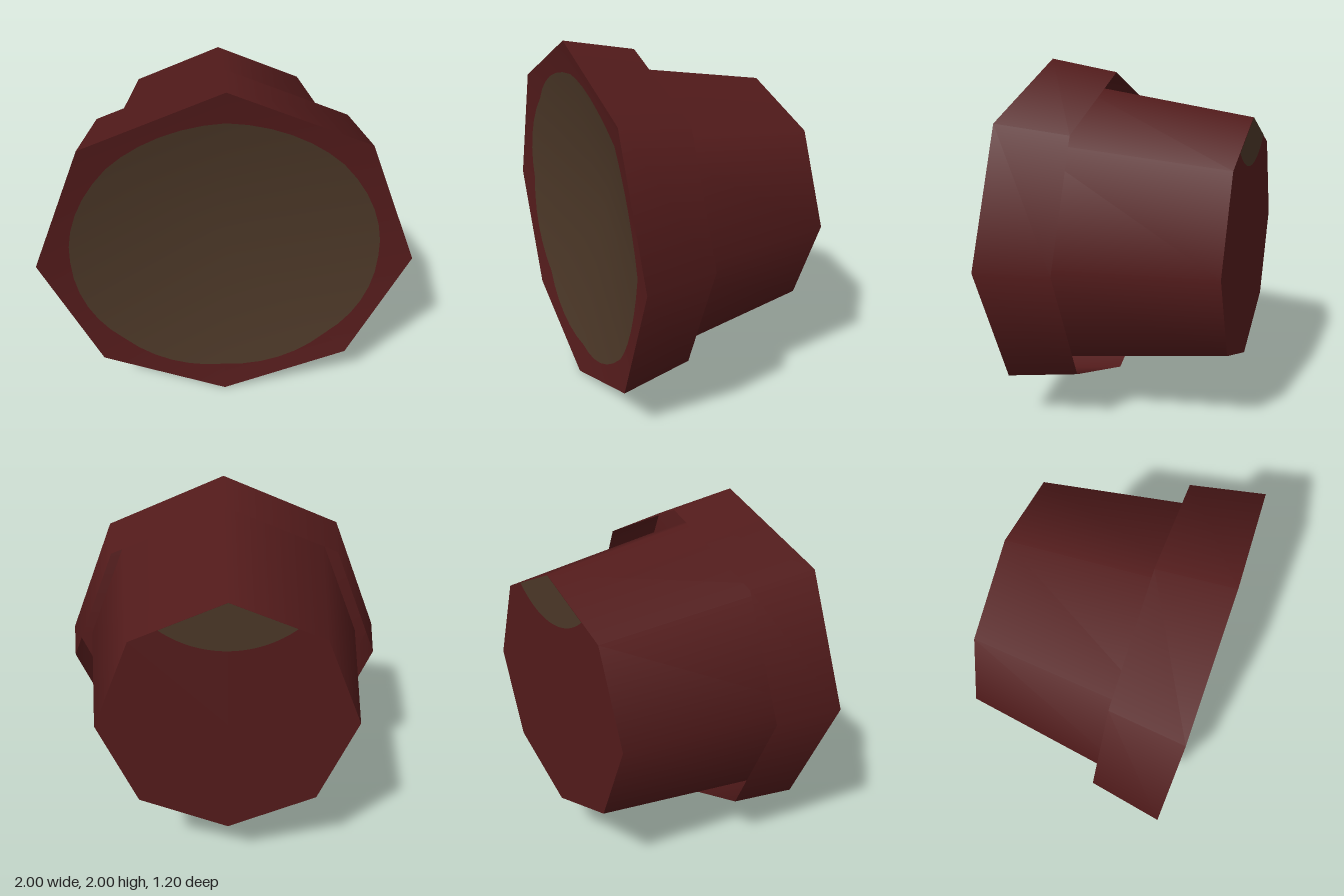
import * as THREE from 'three';

export function createModel() {
  const clay = new THREE.MeshStandardMaterial({ color: 0x531b1b });
  clay.name = 'clay red';
  clay.side = THREE.DoubleSide;
  const soil = new THREE.MeshStandardMaterial({ color: 0x4b3727 });
  soil.name = 'soil brown';

  const pot = new THREE.Group();
  pot.name = 'pot';
  const add = (name, geometry, material, z = 0) => {
    const mesh = new THREE.Mesh(geometry, material);
    mesh.name = name;
    mesh.position.set(0, 1, z);
    pot.add(mesh);
  };

  // Eight-sided open shell along z, smooth around
  const shell = (rFront, rBack, depth) =>
    new THREE.CylinderGeometry(rFront, rBack, depth, 8, 1, true).rotateX(Math.PI / 2);

  // Shallow eight-sided funnel, 0.2 deep, with normals leaning inwards
  const depth = 0.2;
  const funnel = (radius, segments) => {
    const geometry = new THREE.CircleGeometry(radius, segments);
    const p = geometry.attributes.position;
    const n = new THREE.Vector3();
    for (let i = 0; i < p.count; i++) {
      const x = p.getX(i), y = p.getY(i), r = Math.hypot(x, y);
      let reach = 0;
      for (let k = 0; k < 8; k++) {
        const a = (k + 0.5) * Math.PI / 4;
        reach = Math.max(reach, x * Math.cos(a) + y * Math.sin(a));
      }
      p.setZ(i, depth * (reach / Math.cos(Math.PI / 8) - 1));
      const lean = r > 0 ? depth / r : 0;
      n.set(-x * lean, -y * lean, 1).normalize();
      geometry.attributes.normal.setXYZ(i, n.x, n.y, n.z);
    }
    return geometry;
  };

  // Collar stands clear of the body, which runs on inside it
  add('collar', shell(1, 0.93, 0.4), clay, 0.4);
  add('body', shell(0.87, 0.704, 1.1), clay, -0.05);

  // Sunken mouth with a round soil surface, and flat base
  add('mouth', funnel(1, 8), clay, 0.6);
  add('soilSurface', funnel(0.825, 48), soil, 0.603);
  add('baseFace', new THREE.CircleGeometry(0.704, 8).rotateY(Math.PI), clay, -0.6);

  // Soil patch at the top corner of the base: two straight edges and an arc
  const patch = new THREE.Shape();
  const spread = Math.atan2(0.345, 0.44);
  patch.moveTo(0, 0.704);
  patch.lineTo(-0.345, 0.561);
  patch.absarc(0, 1.0, 0.558, -Math.PI / 2 - spread, -Math.PI / 2 + spread, false);
  patch.closePath();
  add('baseSoilPatch', new THREE.ShapeGeometry(patch, 16).rotateY(Math.PI), soil, -0.602);

  return pot;
}
